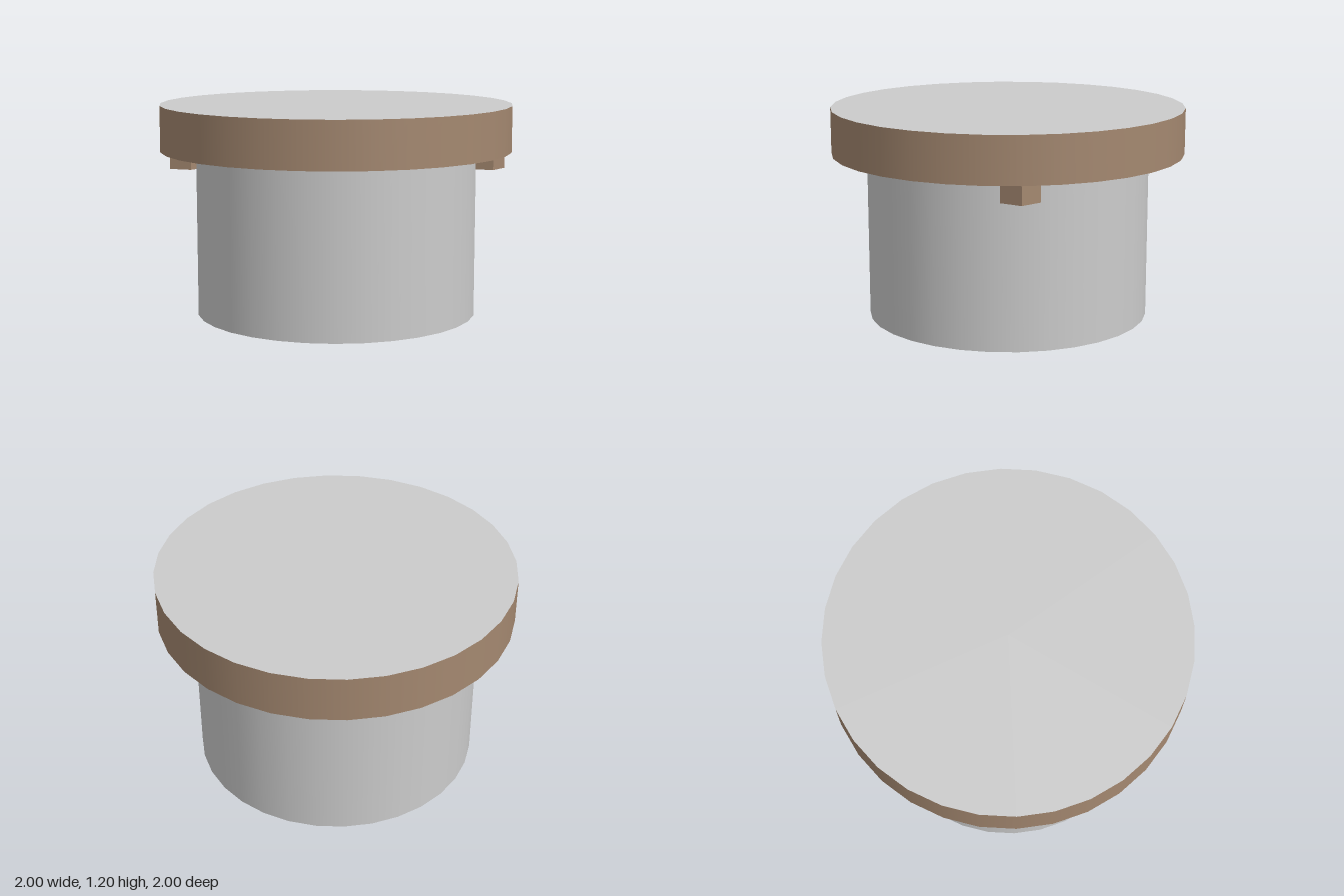
import * as THREE from 'three';

export function createModel() {
  const model = new THREE.Group();
  const grey = new THREE.MeshStandardMaterial({ color: 0xcccccc });
  const brown = new THREE.MeshStandardMaterial({ color: 0xa48870 });
  const brownFlat = new THREE.MeshStandardMaterial({ color: 0xa48870, flatShading: true });

  // Upright drum with its own side material and grey end caps
  function drum(name, radius, bottom, top, sides, sideMaterial, x = 0) {
    const geometry = new THREE.CylinderGeometry(
      radius, radius, top - bottom, sides, 1, false, Math.PI / 2, Math.PI * 2);
    const mesh = new THREE.Mesh(geometry, [sideMaterial, grey, grey]);
    mesh.name = name;
    mesh.position.set(x, (top + bottom) / 2, 0);
    model.add(mesh);
  }

  // Body and overhanging lid
  drum('body', 0.8, 0, 0.94, 32, grey);
  drum('lid', 1, 0.94, 1.2, 32, brown);

  // Five-sided lugs under the lid, both pointing toward +x
  drum('leftLug', 0.11, 0.83, 0.95, 5, brownFlat, 0.855);
  drum('rightLug', 0.11, 0.83, 0.95, 5, brownFlat, -0.855);

  return model;
}
